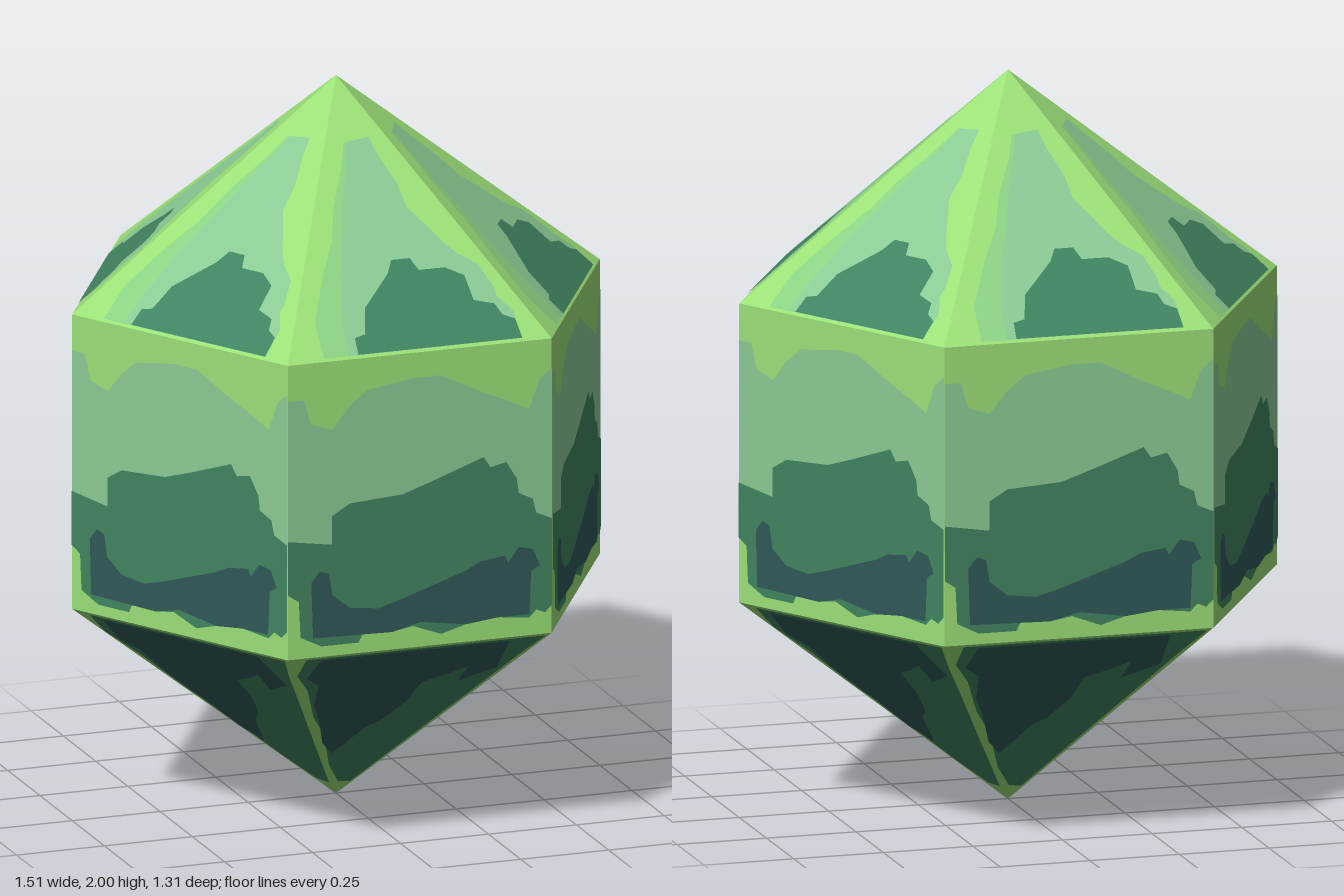
import * as THREE from 'three';

const R = 0.75, APOTHEM = R * Math.cos(Math.PI / 6);
const LOW = 0.59, HIGH = 1.41, TOP = 2;
const SLOPE = Math.hypot(LOW, APOTHEM), TILT = Math.atan2(APOTHEM, LOW);

const paint = (name, color) => {
  const m = new THREE.MeshStandardMaterial({ color });
  m.name = name;
  return m;
};

// Patches on one wall: [across, height]
const wallMint = [[-.375, 1.31], [-.33, 1.31], [-.31, 1.24], [-.25, 1.22], [-.2, 1.28], [-.15, 1.32],
  [-.02, 1.34], [.06, 1.34], [.18, 1.28], [.25, 1.25], [.31, 1.22], [.34, 1.3], [.375, 1.33],
  [.375, .85], [-.375, .85]];
const wallGreen = [[-.375, .92], [-.25, .9], [-.25, .98], [-.2, 1.01], [-.05, 1.02], [.04, 1.05],
  [.18, 1.1], [.2, 1.07], [.245, 1.08], [.275, 1.03], [.28, .99], [.32, .97], [.33, .93], [.375, .91],
  [.375, .67], [.355, .65], [.33, .66], [.31, .64], [.22, .65], [.13, .64], [.06, .62], [-.02, .65],
  [-.08, .64], [-.16, .65], [-.175, .62], [-.28, .62], [-.34, .65], [-.345, .75], [-.375, .77]];
const wallTeal = [[-.31, .8], [-.285, .83], [-.26, .82], [-.25, .76], [-.2, .72], [-.12, .71], [-.05, .73],
  [.04, .76], [.13, .79], [.17, .81], [.24, .82], [.25, .8], [.28, .84], [.32, .83], [.34, .785],
  [.315, .77], [.31, .65], [.22, .65], [.13, .64], [0, .66], [-.08, .64], [-.305, .645]];

// Patches on one upper facet: [across, fraction from base to tip]
const capLeaf = [[-.27, .01], [-.265, .14], [-.205, .3], [-.15, .42], [-.117, .54], [-.064, .67],
  [-.036, .76], [0, .76], [0, .01]];
const capMint = [[-.2, .01], [-.19, .12], [-.155, .3], [-.115, .44], [-.085, .56], [-.045, .69],
  [-.03, .76], [.036, .77], [.048, .7], [.076, .6], [.084, .51], [.116, .45], [.157, .37], [.185, .33],
  [.233, .285], [.257, .2], [.257, .17], [.29, .11], [.293, .01]];
const capGreen = [[-.173, .01], [-.169, .07], [-.137, .08], [-.117, .17], [-.064, .235], [-.024, .285],
  [-.004, .33], [.048, .33], [.064, .285], [.137, .285], [.185, .25], [.19, .16], [.245, .14],
  [.257, .1], [.289, .08], [.293, .01]];

// Patches on one lower facet: [across, fraction from base to tip]
const tipGreen = [[-.32, .01], [.36, .01], [.31, .13], [.245, .31], [.13, .62], [.02, .92], [-.016, .91],
  [-.07, .79], [-.14, .56], [-.2, .43], [-.265, .23], [-.32, .12]];
const tipTeal = [[-.275, .02], [.26, .02], [.265, .2], [.17, .27], [.18, .17], [.13, .21], [.065, .25],
  [.05, .38], [.01, .49], [-.03, .54], [-.07, .66], [-.085, .7], [-.13, .62], [-.18, .45], [-.22, .34],
  [-.24, .2], [-.29, .14]];

export function createModel() {
  const model = new THREE.Group();
  model.name = 'crystal';
  const lime = paint('lime', 0x9be077);
  const leaf = paint('leaf', 0x8cd283);
  const mint = paint('mint', 0x8aca94);
  const green = paint('green', 0x418460);
  const teal = paint('teal', 0x305858);

  // Six-sided solid: wall band with a point above and below
  const solid = (name, rTop, rBottom, y0, y1) => {
    const geo = new THREE.CylinderGeometry(rTop, rBottom, y1 - y0, 6, 1, true, Math.PI / 6).toNonIndexed();
    geo.computeVertexNormals();
    const mesh = new THREE.Mesh(geo, lime);
    mesh.name = name;
    mesh.position.y = (y0 + y1) / 2;
    model.add(mesh);
  };
  solid('upperPoint', 0, R, HIGH, TOP);
  solid('wallBand', R, R, LOW, HIGH);
  solid('lowerPoint', R, 0, 0, LOW);

  // Painted patches, each layer a hair above the one below
  const patch = (points, scaleY) =>
    new THREE.ShapeGeometry(new THREE.Shape(points.map(([u, v]) => new THREE.Vector2(u, v * scaleY))));
  const sections = [
    { name: 'wallPaint', y: 0, tilt: 0, scale: 1, layers: [[wallMint, mint], [wallGreen, green], [wallTeal, teal]] },
    { name: 'upperPaint', y: HIGH, tilt: -TILT, scale: SLOPE, layers: [[capLeaf, leaf], [capMint, mint], [capGreen, green]] },
    { name: 'lowerPaint', y: LOW, tilt: TILT, scale: -SLOPE, layers: [[tipGreen, green], [tipTeal, teal]] },
  ];
  for (const { name, y, tilt, scale, layers } of sections) {
    const geos = layers.map(([points]) => patch(points, scale));
    for (let k = 0; k < 6; k++) {
      const side = new THREE.Group();
      side.name = name;
      side.rotation.y = k * Math.PI / 3;
      const facet = new THREE.Group();
      facet.name = name + 'Facet';
      facet.position.set(0, y, APOTHEM);
      facet.rotation.x = tilt;
      layers.forEach(([, material], i) => {
        const mesh = new THREE.Mesh(geos[i], material);
        mesh.name = material.name + 'Patch';
        mesh.position.z = 0.0015 * (i + 1);
        facet.add(mesh);
      });
      side.add(facet);
      model.add(side);
    }
  }
  return model;
}
